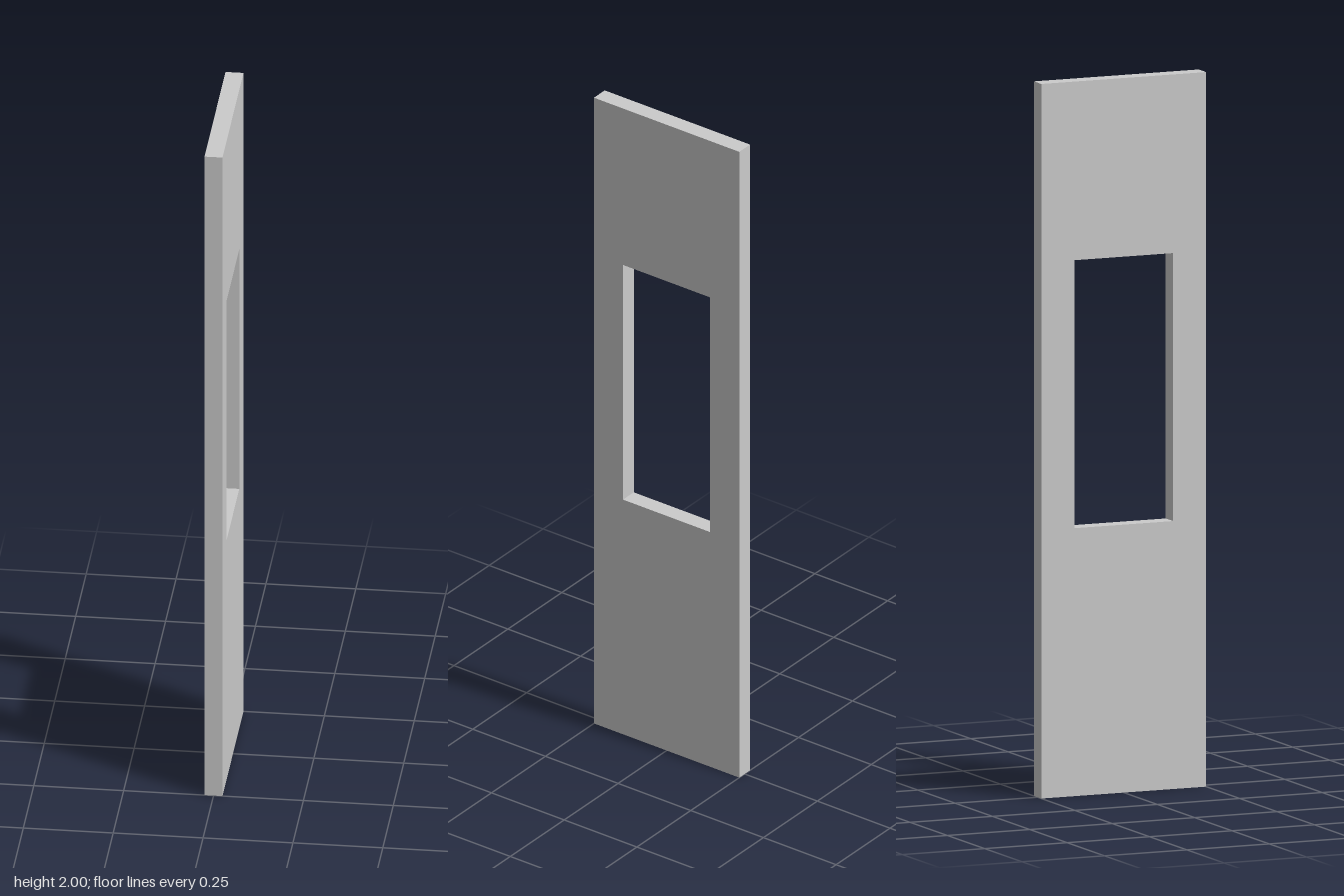
import * as THREE from 'three';

const HEIGHT = 2, WIDTH = 0.5, THICKNESS = 0.05;
const WINDOW = { width: 0.3, bottom: 0.75, top: 1.5 };

// Traces a rectangle centred on the vertical axis
function traceRect(path, width, bottom, top) {
  const h = width / 2;
  path.moveTo(-h, bottom);
  path.lineTo(h, bottom);
  path.lineTo(h, top);
  path.lineTo(-h, top);
  path.closePath();
  return path;
}

export function createModel() {
  const group = new THREE.Group();
  group.name = 'windowPanel';

  // Upright slab with a rectangular window opening
  const outline = traceRect(new THREE.Shape(), WIDTH, 0, HEIGHT);
  outline.holes.push(traceRect(new THREE.Path(), WINDOW.width, WINDOW.bottom, WINDOW.top));

  // Extruded through its thickness, then turned so the broad faces look along x
  const geometry = new THREE.ExtrudeGeometry(outline, { depth: THICKNESS, bevelEnabled: false });
  geometry.translate(0, 0, -THICKNESS / 2);
  geometry.rotateY(Math.PI / 2);

  const panel = new THREE.Mesh(geometry, new THREE.MeshStandardMaterial({ color: 0xcccccc }));
  panel.name = 'panel';
  group.add(panel);
  return group;
}
